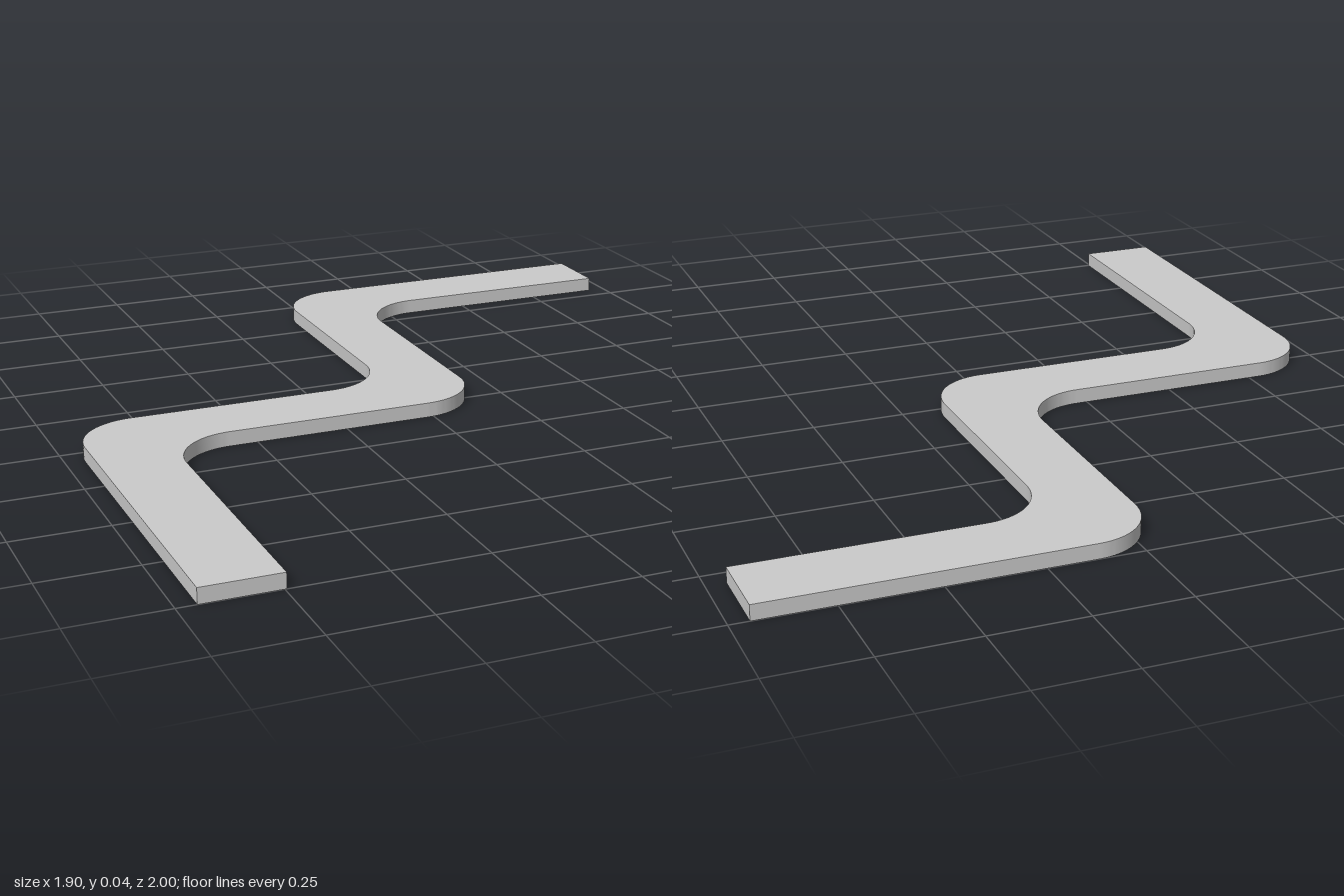
import * as THREE from 'three';
import { toCreasedNormals } from 'three/addons/utils/BufferGeometryUtils.js';

const THICKNESS = 0.04;
const RADIUS = 0.17;

// Closed outline through the corners [x, z, rounded], in the xy plane with y = -z
function roundedOutline(corners) {
  const points = corners.map(([x, z]) => new THREE.Vector2(x, -z));
  const shape = new THREE.Shape();
  const n = points.length;
  points.forEach((p, i) => {
    const draw = (v) => (i === 0 ? shape.moveTo(v.x, v.y) : shape.lineTo(v.x, v.y));
    if (!corners[i][2]) return draw(p);
    const toPrev = points[(i + n - 1) % n].clone().sub(p).normalize();
    const toNext = points[(i + 1) % n].clone().sub(p).normalize();
    const start = p.clone().addScaledVector(toPrev, RADIUS);
    const centre = start.clone().addScaledVector(toNext, RADIUS);
    draw(start);
    const a0 = Math.atan2(-toNext.y, -toNext.x);
    const a1 = Math.atan2(-toPrev.y, -toPrev.x);
    const clockwise = toPrev.cross(toNext) > 0;
    shape.absarc(centre.x, centre.y, RADIUS, a0, a1, clockwise);
  });
  shape.closePath();
  return shape;
}

export function createModel() {
  const group = new THREE.Group();
  group.name = 'zigzagPath';

  // Strip with three right-angled, rounded bends
  const outline = roundedOutline([
    [-0.95, 1, false],
    [-0.745, 1, false],
    [-0.745, 0.105, true],
    [0.152, 0.105, true],
    [0.152, -0.803, true],
    [0.95, -0.803, false],
    [0.95, -1, false],
    [-0.048, -1, true],
    [-0.048, -0.098, true],
    [-0.95, -0.098, true],
  ]);
  const geometry = new THREE.ExtrudeGeometry(outline, {
    depth: THICKNESS,
    bevelEnabled: false,
    curveSegments: 16,
  });
  geometry.rotateX(-Math.PI / 2);

  const strip = new THREE.Mesh(
    toCreasedNormals(geometry, Math.PI / 6),
    new THREE.MeshStandardMaterial({ color: 0xcccccc })
  );
  strip.name = 'bentStrip';
  group.add(strip);
  return group;
}
